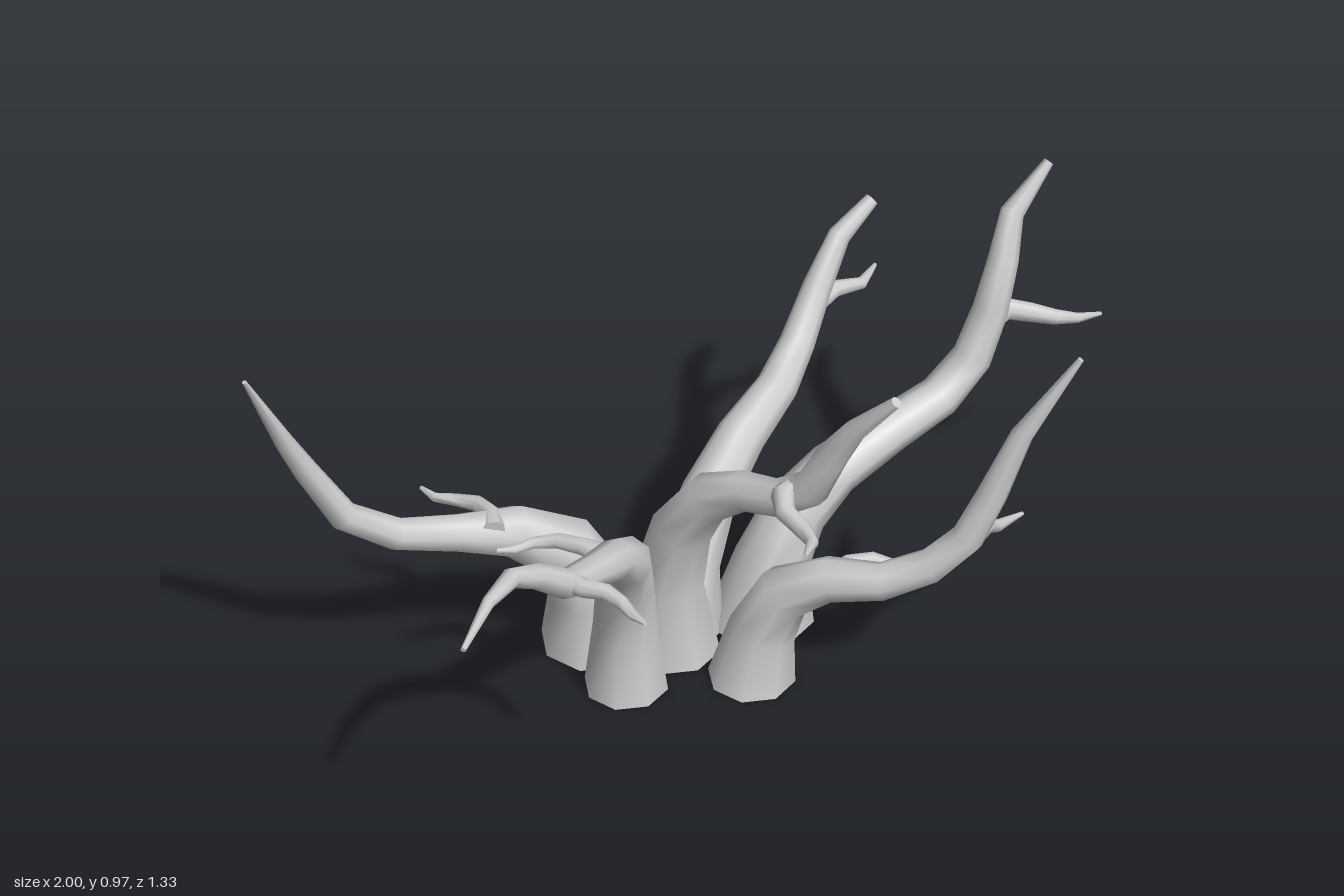
import * as THREE from 'three';
import { toCreasedNormals } from 'three/addons/utils/BufferGeometryUtils.js';

const material = new THREE.MeshStandardMaterial({ color: 0xcccccc });
const SIDES = 8;

// Tapered limb through nodes [x, y, z, radius], closed at both ends.
function limb(name, nodes, startDir) {
  const pts = nodes.map(n => new THREE.Vector3(n[0], n[1], n[2]));
  const last = pts.length - 1;
  const pos = [], index = [];
  const rot = new THREE.Quaternion(), step = new THREE.Quaternion();
  let prev = new THREE.Vector3(0, 1, 0);
  pts.forEach((p, i) => {
    // average the directions of the neighbouring segments
    const t = new THREE.Vector3();
    if (i > 0) t.add(p.clone().sub(pts[i - 1]).normalize());
    if (i < last) t.add(pts[i + 1].clone().sub(p).normalize());
    if (i === 0 && startDir) t.copy(startDir);
    t.normalize();
    rot.premultiply(step.setFromUnitVectors(prev, t));
    prev = t;
    for (let j = 0; j < SIDES; j++) {
      const a = (j + 0.5) / SIDES * Math.PI * 2;
      const v = new THREE.Vector3(Math.cos(a), 0, Math.sin(a))
        .multiplyScalar(nodes[i][3]).applyQuaternion(rot).add(p);
      pos.push(v.x, v.y, v.z);
    }
  });
  for (let i = 0; i < last; i++) {
    for (let j = 0; j < SIDES; j++) {
      const a = i * SIDES + j, b = i * SIDES + (j + 1) % SIDES;
      index.push(a, a + SIDES, b, b, a + SIDES, b + SIDES);
    }
  }
  // end caps
  const top = last * SIDES;
  for (let j = 1; j < SIDES - 1; j++) {
    index.push(0, j, j + 1, top, top + j + 1, top + j);
  }
  const g = new THREE.BufferGeometry();
  g.setAttribute('position', new THREE.Float32BufferAttribute(pos, 3));
  g.setIndex(index);
  const mesh = new THREE.Mesh(toCreasedNormals(g, 1.1), material);
  mesh.name = name;
  return mesh;
}

const branches = {
  backLeftward: {
    main: [[-0.14, 0, -0.3, 0.127], [-0.15, 0.16, -0.305, 0.096], [-0.195, 0.28, -0.335, 0.08],
      [-0.29, 0.355, -0.4, 0.062], [-0.4, 0.387, -0.47, 0.045], [-0.52, 0.425, -0.545, 0.038],
      [-0.62, 0.51, -0.605, 0.034], [-0.69, 0.66, -0.64, 0.027], [-0.74, 0.76, -0.645, 0.021],
      [-0.84, 0.97, -0.645, 0.005]],
    twigs: [[[-0.36, 0.4, -0.4, 0.026], [-0.32, 0.405, -0.44, 0.021], [-0.305, 0.402, -0.49, 0.019],
      [-0.315, 0.395, -0.545, 0.015], [-0.335, 0.395, -0.59, 0.011], [-0.33, 0.4, -0.635, 0.005]]],
  },
  sideLong: {
    main: [[-0.23, 0, -0.14, 0.098], [-0.228, 0.16, -0.14, 0.076], [-0.25, 0.31, -0.12, 0.067],
      [-0.31, 0.43, -0.07, 0.058], [-0.4, 0.51, -0.03, 0.046], [-0.5, 0.55, -0.01, 0.038],
      [-0.6, 0.58, -0.005, 0.033], [-0.68, 0.645, -0.02, 0.028], [-0.76, 0.69, -0.02, 0.022],
      [-0.87, 0.71, 0.01, 0.014], [-1, 0.692, 0.05, 0.006]],
    twigs: [
      [[-0.59, 0.58, 0, 0.026], [-0.595, 0.585, 0.04, 0.021], [-0.58, 0.587, 0.085, 0.019],
        [-0.583, 0.58, 0.13, 0.015], [-0.6, 0.577, 0.17, 0.011], [-0.61, 0.58, 0.208, 0.005]],
      [[-0.4, 0.51, -0.05, 0.025], [-0.41, 0.515, -0.11, 0.02], [-0.42, 0.51, -0.17, 0.018],
        [-0.45, 0.503, -0.215, 0.014], [-0.49, 0.5, -0.235, 0.01], [-0.52, 0.505, -0.26, 0.005]]],
  },
  middle: {
    main: [[-0.055, 0, -0.14, 0.115], [-0.065, 0.2, -0.14, 0.083], [-0.065, 0.36, -0.1, 0.07],
      [-0.06, 0.47, -0.03, 0.058], [-0.05, 0.52, 0.06, 0.046], [-0.05, 0.54, 0.15, 0.043],
      [-0.045, 0.6, 0.235, 0.042], [-0.035, 0.7, 0.28, 0.036], [-0.03, 0.78, 0.33, 0.026],
      [-0.015, 0.885, 0.425, 0.013]],
    twigs: [[[-0.05, 0.58, 0.19, 0.03], [-0.1, 0.595, 0.195, 0.025], [-0.135, 0.585, 0.23, 0.023],
      [-0.15, 0.573, 0.285, 0.02], [-0.18, 0.575, 0.33, 0.014], [-0.235, 0.585, 0.35, 0.005]]],
  },
  frontSlender: {
    main: [[-0.04, 0, 0.075, 0.102], [-0.02, 0.13, 0.09, 0.078], [0, 0.24, 0.135, 0.067],
      [0.04, 0.295, 0.23, 0.053], [0.085, 0.31, 0.34, 0.044], [0.14, 0.36, 0.43, 0.041],
      [0.185, 0.44, 0.495, 0.038], [0.22, 0.55, 0.53, 0.034], [0.265, 0.7, 0.57, 0.025],
      [0.34, 0.89, 0.66, 0.007]],
    twigs: [
      [[0.06, 0.27, 0.23, 0.03], [0.12, 0.285, 0.23, 0.026], [0.165, 0.28, 0.26, 0.023],
        [0.195, 0.262, 0.315, 0.02], [0.24, 0.248, 0.35, 0.014], [0.305, 0.23, 0.37, 0.005]],
      [[0.18, 0.43, 0.49, 0.027], [0.23, 0.435, 0.5, 0.023], [0.275, 0.415, 0.487, 0.02],
        [0.32, 0.385, 0.488, 0.015], [0.41, 0.37, 0.5, 0.005]]],
  },
  sideRear: {
    main: [[0.01, 0, -0.18, 0.115], [0.07, 0.15, -0.185, 0.078], [0.165, 0.28, -0.19, 0.066],
      [0.29, 0.37, -0.19, 0.058], [0.45, 0.415, -0.2, 0.049], [0.56, 0.47, -0.22, 0.042],
      [0.65, 0.58, -0.225, 0.035], [0.73, 0.68, -0.22, 0.027], [0.82, 0.745, -0.19, 0.017]],
    twigs: [[[0.59, 0.5, -0.24, 0.027], [0.67, 0.5, -0.25, 0.024], [0.74, 0.52, -0.235, 0.021],
      [0.8, 0.517, -0.2, 0.015], [0.88, 0.522, -0.215, 0.005]]],
  },
  sideFront: {
    main: [[0.155, 0, -0.035, 0.125], [0.18, 0.15, -0.025, 0.088], [0.24, 0.27, 0, 0.076],
      [0.34, 0.34, 0.035, 0.065], [0.5, 0.38, 0.085, 0.055], [0.63, 0.42, 0.135, 0.051],
      [0.71, 0.5, 0.17, 0.047], [0.75, 0.62, 0.19, 0.042], [0.795, 0.73, 0.19, 0.036],
      [0.85, 0.825, 0.175, 0.028], [0.94, 0.93, 0.212, 0.012]],
    twigs: [[[0.74, 0.59, 0.19, 0.031], [0.8, 0.597, 0.2, 0.027], [0.835, 0.585, 0.245, 0.024],
      [0.87, 0.572, 0.295, 0.019], [0.92, 0.553, 0.322, 0.013], [1, 0.53, 0.342, 0.005]]],
  },
};

export function createModel() {
  const group = new THREE.Group();
  group.name = 'branchCluster';
  const up = new THREE.Vector3(0, 1, 0);
  for (const [name, { main, twigs }] of Object.entries(branches)) {
    const branch = new THREE.Group();
    branch.name = name + 'Branch';
    branch.add(limb(name + 'Trunk', main, up));
    twigs.forEach(t => branch.add(limb(name + 'Twig', t)));
    group.add(branch);
  }
  return group;
}
